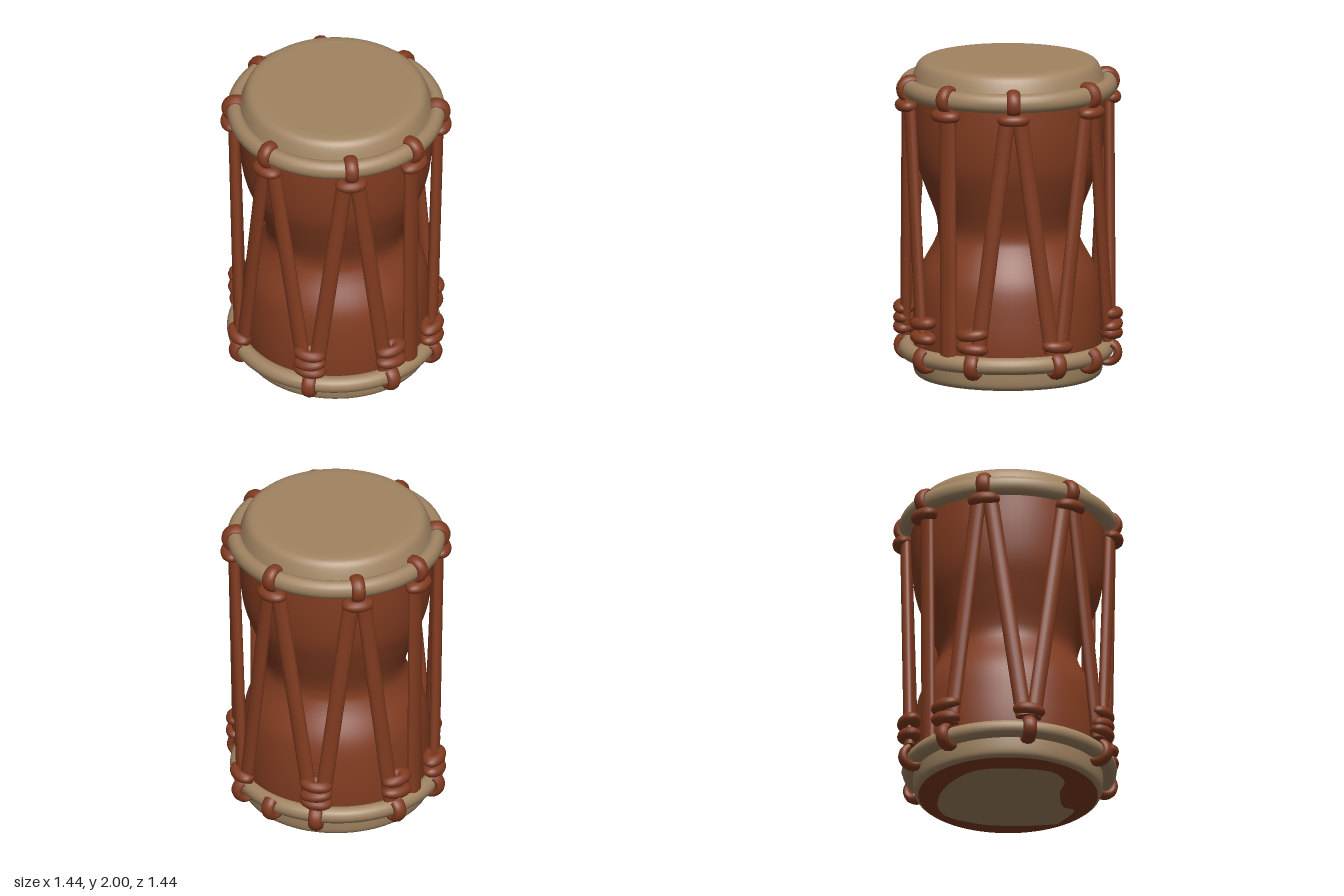
import * as THREE from 'three';

const paint = (name, color, side = THREE.FrontSide) => {
  const m = new THREE.MeshStandardMaterial({ color, side });
  m.name = name;
  return m;
};

export function createModel() {
  const wood = paint('red brown wood', 0x823c21);
  const cord = paint('red brown cord', 0x813b20, THREE.DoubleSide);
  const hide = paint('tan hide', 0xa18462);

  const drum = new THREE.Group();
  drum.name = 'drum';
  const rad = THREE.MathUtils.degToRad;
  const add = (parent, name, geometry, material) => {
    const mesh = new THREE.Mesh(geometry, material);
    mesh.name = name;
    parent.add(mesh);
    return mesh;
  };
  const vecs = (list) => list.map(([r, y]) => new THREE.Vector2(r, y));
  // point at an azimuth measured from the front towards the left
  const polar = (deg, r, y) =>
    new THREE.Vector3(r * Math.sin(rad(deg)), y, r * Math.cos(rad(deg)));

  // hourglass body
  const side = new THREE.SplineCurve(vecs([
    [0.55, 0.02], [0.585, 0.2], [0.585, 0.42], [0.555, 0.65], [0.46, 0.84], [0.432, 0.93],
    [0.45, 1.03], [0.515, 1.2], [0.575, 1.38], [0.6, 1.6], [0.6, 1.86],
  ])).getPoints(60);
  add(drum, 'body', new THREE.LatheGeometry(side, 72), wood);

  // top drumhead with sloping shoulder
  const headLine = new THREE.SplineCurve(vecs([
    [0.61, 1.84], [0.597, 1.88], [0.58, 1.93], [0.56, 1.97], [0.53, 1.993], [0.48, 2],
  ])).getPoints(20);
  add(drum, 'topHead', new THREE.LatheGeometry([...headLine, new THREE.Vector2(0, 2)], 72), hide);

  // bottom drumhead wall and base
  const footLine = new THREE.SplineCurve(vecs([
    [0.555, 0.006], [0.578, 0.025], [0.588, 0.07], [0.592, 0.17],
  ])).getPoints(12);
  add(drum, 'bottomHead', new THREE.LatheGeometry(footLine, 72), hide);
  const base = add(drum, 'base', new THREE.CircleGeometry(0.557, 72), wood);
  base.rotation.x = Math.PI / 2;
  base.position.y = 0.006;

  // uneven hide patch under the base, as [across, towards the left rear]
  const outline = [
    [-0.58, 0.71], [-0.75, 0.36], [-0.62, 0.24], [-0.57, -0.1], [-0.6, -0.44], [-0.36, -0.69],
    [0.3, -0.69], [0.63, -0.36], [0.77, 0.12], [0.68, 0.53], [0.3, 0.74], [-0.14, 0.78],
  ].map(([u, v]) => new THREE.Vector2(
    0.56 * (-0.83 * u + 0.56 * v), 0.56 * (-0.56 * u - 0.83 * v)));
  const patchShape = new THREE.Shape().moveTo(outline[0].x, outline[0].y);
  patchShape.splineThru([...outline.slice(1), outline[0]]);
  const patch = add(drum, 'basePatch', new THREE.ShapeGeometry(patchShape, 48), hide);
  patch.rotation.x = Math.PI / 2;

  // hoops
  const hoop = (name, r, y, z, tubeHeight) => {
    const g = new THREE.TorusGeometry(r, 0.052, 18, 72);
    g.rotateX(Math.PI / 2).scale(1, tubeHeight / 0.052, 1);
    add(drum, name, g, hide).position.set(0, y, z);
  };
  hoop('topHoop', 0.625, 1.835, 0, 0.06);
  hoop('bottomHoop', 0.615, 0.17, 0.015, 0.053);

  // a group turned so that local +x points outwards at an azimuth
  const spoke = (name, deg) => {
    const g = new THREE.Group();
    g.name = name;
    g.rotation.y = rad(deg - 90);
    drum.add(g);
    return g;
  };
  // cord loop bent round a hoop
  const hook = (parent, r, y, start, sweep) => {
    const g = new THREE.TorusGeometry(0.062, 0.028, 10, 24, rad(sweep));
    g.rotateZ(rad(start)).scale(1, 1, 1.55);
    add(parent, 'hook', g, cord).position.set(r, y, 0);
  };
  // wrapped ring binding two cords
  const knot = (parent, r, y, tilt = 0) => {
    const g = new THREE.TorusGeometry(0.04, 0.036, 12, 28);
    g.rotateX(Math.PI / 2).scale(0.92, 1, 1.36);
    const m = add(parent, 'knot', g, cord);
    m.position.set(r, y, 0);
    m.rotation.x = tilt;
  };
  // flattened straight cord between two points
  const rope = (name, a, b, halfWidth, halfDepth) => {
    const up = a.clone().sub(b);
    const length = up.length();
    up.normalize();
    const out = a.clone().add(b).setY(0);
    out.addScaledVector(up, -out.dot(up)).normalize();
    const across = new THREE.Vector3().crossVectors(up, out);
    const g = new THREE.CylinderGeometry(1, 1, length, 16).scale(halfWidth, 1, halfDepth);
    g.applyMatrix4(new THREE.Matrix4().makeBasis(across, up, out));
    add(drum, name, g, cord).position.copy(a).add(b).multiplyScalar(0.5);
  };

  // upper hooks, each with one knot
  for (const deg of [0, 50, 90, 130, 180, 230, 270, 310]) {
    const s = spoke('upperHook', deg);
    hook(s, 0.622, 1.835, -60, 235);
    knot(s, 0.648, 1.735);
  }

  // lower hooks, knots and zigzag cords, repeated on opposite halves
  const stacks = [
    [27, [0.29, 0.345, 0.415]], [73, [0.31, 0.4]], [107, [0.285, 0.37]], [155, [0.29]],
  ];
  const runs = [[0, 27], [50, 27], [50, 73], [130, 107], [130, 155], [180, 155]];
  for (const half of [0, 180]) {
    for (const [deg, heights] of stacks) {
      const s = spoke('lowerHook', deg + half);
      hook(s, 0.63, 0.168, -150, 215);
      heights.forEach((y, i) => knot(s, 0.652, y, i % 2 ? 0.1 : -0.08));
    }
    for (const [top, low] of runs) {
      const turn = Math.sign(low - top);
      rope('cord', polar(top + half + 3.5 * turn, 0.635, 1.74),
        polar(low + half - 2.8 * turn, 0.64, 0.25), 0.05, 0.034);
    }
    rope('straightCord', polar(90 + half, 0.625, 1.75), polar(90 + half, 0.615, 0.2), 0.06, 0.03);
  }
  hook(spoke('rearLowerHook', 180), 0.63, 0.17, -150, 215);

  return drum;
}
